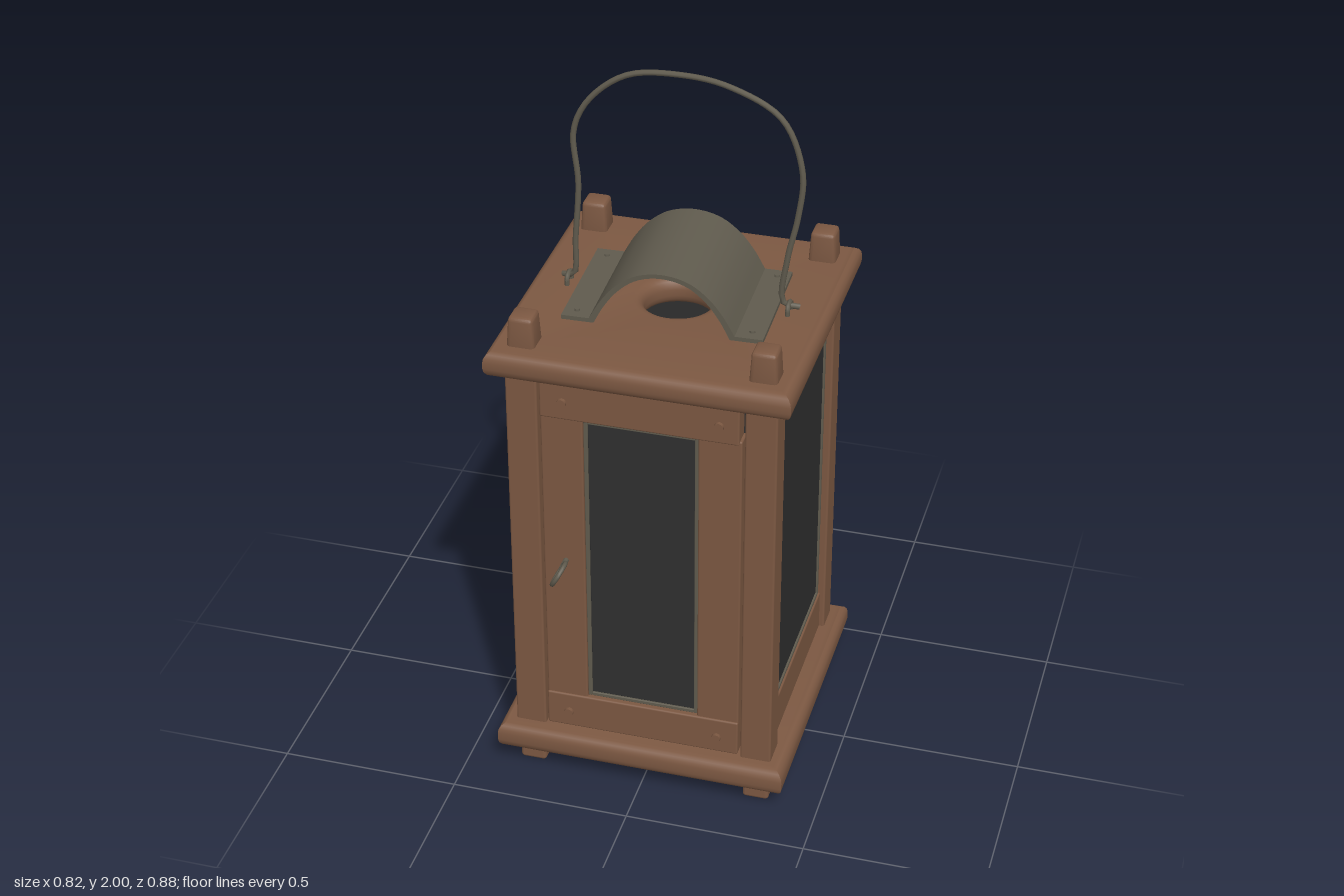
import * as THREE from 'three';
import { toCreasedNormals } from 'three/addons/utils/BufferGeometryUtils.js';
import { RoundedBoxGeometry } from 'three/addons/geometries/RoundedBoxGeometry.js';

const mat = (name, color) => Object.assign(new THREE.MeshStandardMaterial({ color }), { name });
const wood = mat('wood', 0x7c5842);
const metal = mat('agedMetal', 0x605b4e);
const pane = mat('darkPane', 0x2f2f2f);

export function createModel() {
  const lantern = new THREE.Group();
  lantern.name = 'lantern';

  const add = (name, geo, material, x = 0, y = 0, z = 0, parent = lantern) => {
    const m = new THREE.Mesh(geo, material);
    m.name = name;
    m.position.set(x, y, z);
    parent.add(m);
    return m;
  };
  // Box given by its min and max on each axis, edges slightly softened
  const block = (name, [x0, x1], [y0, y1], [z0, z1], material = wood, r = 0.006, parent = lantern) =>
    add(name, new RoundedBoxGeometry(x1 - x0, y1 - y0, z1 - z0, 2, r), material,
      (x0 + x1) / 2, (y0 + y1) / 2, (z0 + z1) / 2, parent);

  // Base and roof boards with rounded edges; the roof has a smoke hole
  const board = (name, y0, y1, hole) => {
    const bevel = 0.03, hx = 0.408 - bevel, hz = 0.41 - bevel;
    const s = new THREE.Shape([[-hx, -hz], [hx, -hz], [hx, hz], [-hx, hz]].map(p => new THREE.Vector2(...p)));
    if (hole) s.holes.push(new THREE.Path().absarc(0, 0, 0.12, 0, Math.PI * 2, true));
    const g = new THREE.ExtrudeGeometry(s, {
      depth: y1 - y0 - 2 * bevel, bevelThickness: bevel, bevelSize: bevel, bevelSegments: 4, curveSegments: 20,
    });
    g.rotateX(-Math.PI / 2);
    add(name, toCreasedNormals(g, 0.7), wood, 0, y0 + bevel, -0.027);
  };
  board('baseBoard', 0.06, 0.143, false);
  board('roofBoard', 1.277, 1.355, true);

  // Corner posts with feet below and narrower tenons above
  for (const sx of [-1, 1]) {
    for (const z of [0.295, -0.35]) {
      const x = sx * 0.322;
      block('cornerPost', [x - 0.043, x + 0.043], [0.13, 1.29], [z - 0.043, z + 0.043]);
      block('foot', [x - 0.037, x + 0.037], [0, 0.08], [z - 0.037, z + 0.037], wood, 0.01);
      const tenon = new RoundedBoxGeometry(0.078, 0.12, 0.078, 2, 0.012);
      const p = tenon.attributes.position;
      for (let i = 0; i < p.count; i++) {
        const k = p.getY(i) > 0 ? 0.86 : 1;
        p.setXYZ(i, p.getX(i) * k, p.getY(i), p.getZ(i) * k);
      }
      tenon.computeVertexNormals();
      add('postTenon', toCreasedNormals(tenon, 0.6), wood, x, 1.378, z);
    }
  }

  // A glazed wall facing +z: thin metal rim around a dark pane, z is the pane's front
  const glazing = (parent, [x0, x1], [y0, y1], z) => {
    const rim = 0.011;
    block('pane', [x0, x1], [y0, y1], [z - 0.008, z], pane, 0.001, parent);
    for (const [a, b] of [[x0 - rim, x0], [x1, x1 + rim]])
      block('paneRimSide', [a, b], [y0 - rim, y1 + rim], [z - 0.012, z + 0.005], metal, 0.002, parent);
    for (const [a, b] of [[y0 - rim, y0], [y1, y1 + rim]])
      block('paneRimEnd', [x0, x1], [a, b], [z - 0.012, z + 0.005], metal, 0.002, parent);
  };

  // Side and back walls: rails above and below a large pane
  const wall = (name, angle, x, z, half) => {
    const g = new THREE.Group();
    g.name = name;
    g.position.set(x, 0, z);
    g.rotation.y = angle;
    lantern.add(g);
    block('topRail', [-half - 0.02, half + 0.02], [1.16, 1.268], [-0.045, 0], wood, 0.005, g);
    block('topRailBacking', [-half - 0.02, half + 0.02], [1.25, 1.3], [-0.045, -0.012], wood, 0.005, g);
    block('bottomRail', [-half - 0.02, half + 0.02], [0.135, 0.26], [-0.045, 0], wood, 0.005, g);
    glazing(g, [-half + 0.012, half - 0.012], [0.27, 1.148], -0.01);
  };
  wall('leftWall', Math.PI / 2, 0.35, -0.027, 0.28);
  wall('rightWall', -Math.PI / 2, -0.35, -0.027, 0.28);
  wall('backWall', Math.PI, 0, -0.38, 0.28);

  // Front door: wide latch stile, narrow hinge stile, pegged rails
  const door = new THREE.Group();
  door.name = 'door';
  lantern.add(door);
  const dz = [0.285, 0.335];
  block('latchStile', [-0.272, -0.157], [0.25, 1.17], dz, wood, 0.005, door);
  block('hingeStile', [0.155, 0.272], [0.25, 1.17], dz, wood, 0.005, door);
  block('doorTopRail', [-0.272, 0.265], [1.16, 1.268], [0.285, 0.34], wood, 0.005, door);
  block('doorBottomRail', [-0.272, 0.272], [0.15, 0.258], [0.285, 0.34], wood, 0.005, door);
  glazing(door, [-0.146, 0.144], [0.27, 1.148], 0.322);
  for (const x of [-0.21, 0.212]) {
    for (const y of [0.2, 1.213]) {
      add('doorPeg', new THREE.CylinderGeometry(0.013, 0.013, 0.02, 10).rotateX(Math.PI / 2), wood, x, y, 0.34, door);
    }
  }

  // Ring pull on a short shank
  const ring = add('ringPull', new THREE.TorusGeometry(0.034, 0.0065, 8, 18), metal, -0.21, 0.71, 0.4, door);
  ring.rotation.set(0, Math.PI / 2, 0);
  ring.rotateX(0.5);
  add('ringShank', new THREE.CylinderGeometry(0.008, 0.008, 0.045, 8).rotateX(Math.PI / 2), metal, -0.21, 0.71, 0.348, door);

  // Arched smoke cover: bent sheet with flat flanges nailed to the roof
  const cover = new THREE.Group();
  cover.name = 'smokeCover';
  cover.position.set(0, 1.355, -0.028);
  cover.rotation.y = 0.03;
  lantern.add(cover);
  const arch = new THREE.CatmullRomCurve3([[-0.195, 0.012], [-0.165, 0.065], [-0.125, 0.115], [-0.07, 0.154], [0, 0.168],
    [0.07, 0.154], [0.125, 0.115], [0.165, 0.065], [0.195, 0.012]].map(([x, y]) => new THREE.Vector3(x, y, 0)))
    .getPoints(36);
  const t = 0.012;
  const outer = arch.map(p => new THREE.Vector2(p.x, p.y));
  const inner = arch.map(p => new THREE.Vector2(p.x * 0.935, Math.max(0, p.y - t))).reverse();
  const sheet = new THREE.Shape([
    new THREE.Vector2(-0.27, 0), new THREE.Vector2(-0.27, t), ...outer,
    new THREE.Vector2(0.27, t), new THREE.Vector2(0.27, 0), ...inner,
  ].reverse());
  const sheetGeo = new THREE.ExtrudeGeometry(sheet, { depth: 0.366, bevelEnabled: false });
  sheetGeo.translate(0, 0, -0.183);
  add('archedSheet', toCreasedNormals(sheetGeo, 0.5), metal, 0, 0, 0, cover);
  for (const x of [-0.235, 0.235])
    for (const z of [-0.15, 0.15])
      add('coverNail', new THREE.CylinderGeometry(0.007, 0.008, 0.01, 8), metal, x, 0.013, z, cover);

  // Wire carrying handle, a little crooked, hooked through two staples
  const path = new THREE.CatmullRomCurve3([
    [-0.32, 1.375, -0.034], [-0.287, 1.385, -0.025], [-0.279, 1.5, -0.022], [-0.27, 1.66, -0.026], [-0.281, 1.81, -0.03],
    [-0.24, 1.9, -0.034], [-0.14, 1.977, -0.043], [0, 1.992, -0.05], [0.13, 1.977, -0.046], [0.27, 1.91, -0.036],
    [0.328, 1.77, -0.03], [0.32, 1.64, -0.026], [0.296, 1.52, -0.022], [0.287, 1.385, -0.026], [0.33, 1.375, -0.032],
  ].map(p => new THREE.Vector3(...p)));
  add('carryHandle', new THREE.TubeGeometry(path, 72, 0.008, 7), metal);
  for (const x of [-0.302, 0.302]) {
    const staple = add('handleStaple', new THREE.TorusGeometry(0.02, 0.007, 6, 12, Math.PI), metal, x, 1.365, -0.03);
    staple.rotation.y = Math.PI / 2;
    for (const z of [-0.05, -0.01])
      add('stapleLeg', new THREE.CylinderGeometry(0.007, 0.007, 0.025, 6), metal, x, 1.357, z);
  }

  return lantern;
}
